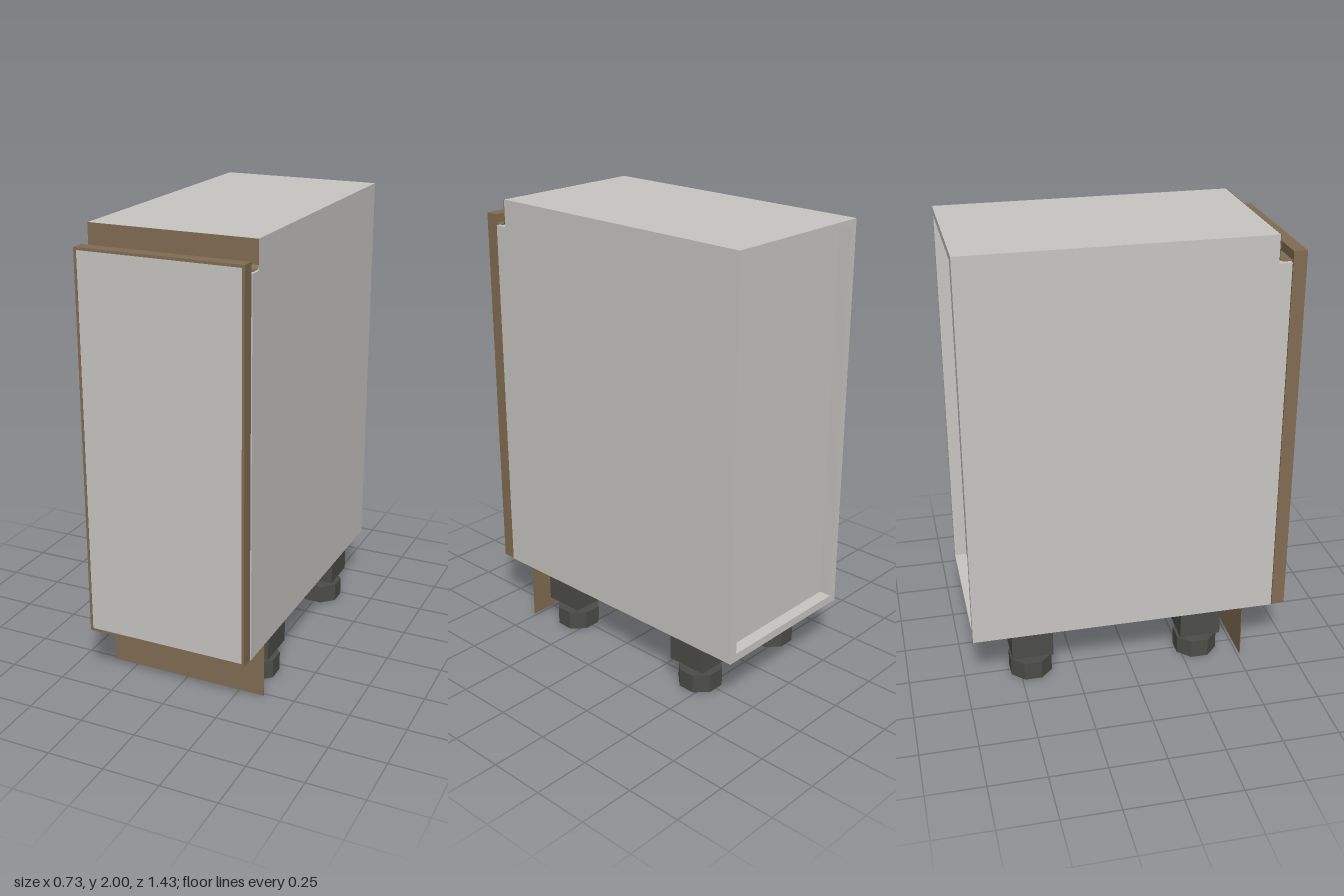
import * as THREE from 'three';

const W = 0.73, T = 0.036;          // cabinet width, board thickness
const BACK = -0.715, FRONT = 0.652; // cabinet depth range
const BASE = 0.25, NOTCH_Z = 0.595;

const material = (name, color) => {
  const m = new THREE.MeshStandardMaterial({ color });
  m.name = name;
  return m;
};

export function createModel() {
  const group = new THREE.Group();
  const grey = material('light grey board', 0xc8c6c2);
  const brown = material('brown trim', 0x816c53);
  const dark = material('dark plastic', 0x4c4d47);

  const add = (name, geometry, mat, parent = group) => {
    const mesh = new THREE.Mesh(geometry, mat);
    mesh.name = name;
    parent.add(mesh);
    return mesh;
  };
  // Box given by its limits on each axis
  const box = (name, mat, [x0, x1], [y0, y1], [z0, z1], parent) => {
    const mesh = add(name, new THREE.BoxGeometry(x1 - x0, y1 - y0, z1 - z0), mat, parent);
    mesh.position.set((x0 + x1) / 2, (y0 + y1) / 2, (z0 + z1) / 2);
    return mesh;
  };
  // Extrude a (z, y) outline along x, centred on x
  const alongX = (shape, width) => new THREE.ExtrudeGeometry(shape, { depth: width, bevelEnabled: false, curveSegments: 6 })
    .rotateY(-Math.PI / 2).translate(width / 2, 0, 0);

  // Side panels with the grip notch at the top front
  const side = new THREE.Shape([
    [BACK, BASE], [FRONT, BASE], [FRONT, 1.88], [NOTCH_Z, 1.88], [NOTCH_Z, 1.967], [BACK, 1.967],
  ].map(([z, y]) => new THREE.Vector2(z, y)));
  for (const [name, s] of [['leftSide', 1], ['rightSide', -1]]) {
    add(name, alongX(side, T), grey).position.x = s * (W - T) / 2;
  }

  // Top, bottom and recessed back
  const inner = [-W / 2 + T, W / 2 - T];
  box('topPanel', grey, [-W / 2, W / 2], [1.967, 2], [BACK, NOTCH_Z]);
  box('bottomPanel', grey, inner, [BASE, BASE + T], [BACK, FRONT]);
  box('backPanel', grey, inner, [BASE + T, 1.967], [BACK + 0.055, BACK + 0.075]);

  // Curved grip channel in the notch
  const t = 0.003, z = NOTCH_Z + 0.001, y = 1.887, r = 0.02;
  const channel = new THREE.Shape();
  channel.moveTo(z, 2);
  channel.lineTo(z, y + r);
  channel.absarc(z + r, y + r, r, Math.PI, Math.PI * 1.5, false);
  channel.lineTo(FRONT, y);
  channel.lineTo(FRONT, y + t);
  channel.lineTo(z + r, y + t);
  channel.absarc(z + r, y + r, r - t, Math.PI * 1.5, Math.PI, true);
  channel.lineTo(z + t, 2);
  add('gripChannel', alongX(channel, W), brown);

  // Door: brown slab and rim around a slightly sunken grey face
  const door = new THREE.Group();
  door.name = 'door';
  group.add(door);
  const dx = 0.362, y0 = 0.252, y1 = 1.926, rim = 0.011;
  box('doorSlab', brown, [-dx, dx], [y0, y1], [0.656, 0.709], door);
  const frame = new THREE.Shape([[-dx, y0], [dx, y0], [dx, y1], [-dx, y1]].map(p => new THREE.Vector2(...p)));
  frame.holes.push(new THREE.Path([
    [-dx + rim, y0 + rim], [-dx + rim, y1 - rim], [dx - rim, y1 - rim], [dx - rim, y0 + rim],
  ].map(p => new THREE.Vector2(...p))));
  add('doorRim', new THREE.ExtrudeGeometry(frame, { depth: 0.006, bevelEnabled: false }), brown, door).position.z = 0.709;
  box('doorFace', grey, [-dx + rim, dx - rim], [y0 + rim, y1 - rim], [0.708, 0.713], door);

  // Plinth board
  box('plinth', brown, [-W / 2, W / 2], [0, BASE], [0.512, 0.515]);

  // Adjustable feet: square socket, octagonal neck and pad
  const octagon = (width, height) => new THREE.CylinderGeometry(
    width / 2 / Math.cos(Math.PI / 8), width / 2 / Math.cos(Math.PI / 8), height, 8, 1, false, Math.PI / 8).toNonIndexed();
  const pad = octagon(0.185, 0.085), neck = octagon(0.085, 0.04);
  pad.computeVertexNormals();
  neck.computeVertexNormals();
  for (const x of [-0.25, 0.25]) {
    for (const fz of [-0.45, 0.325]) {
      const foot = new THREE.Group();
      foot.name = 'foot';
      foot.position.set(x, 0, fz);
      group.add(foot);
      add('footPad', pad, dark, foot).position.y = 0.0425;
      add('footNeck', neck, dark, foot).position.y = 0.102;
      box('footSocket', dark, [-0.0925, 0.0925], [0.118, BASE], [-0.0925, 0.0925], foot);
    }
  }
  return group;
}
